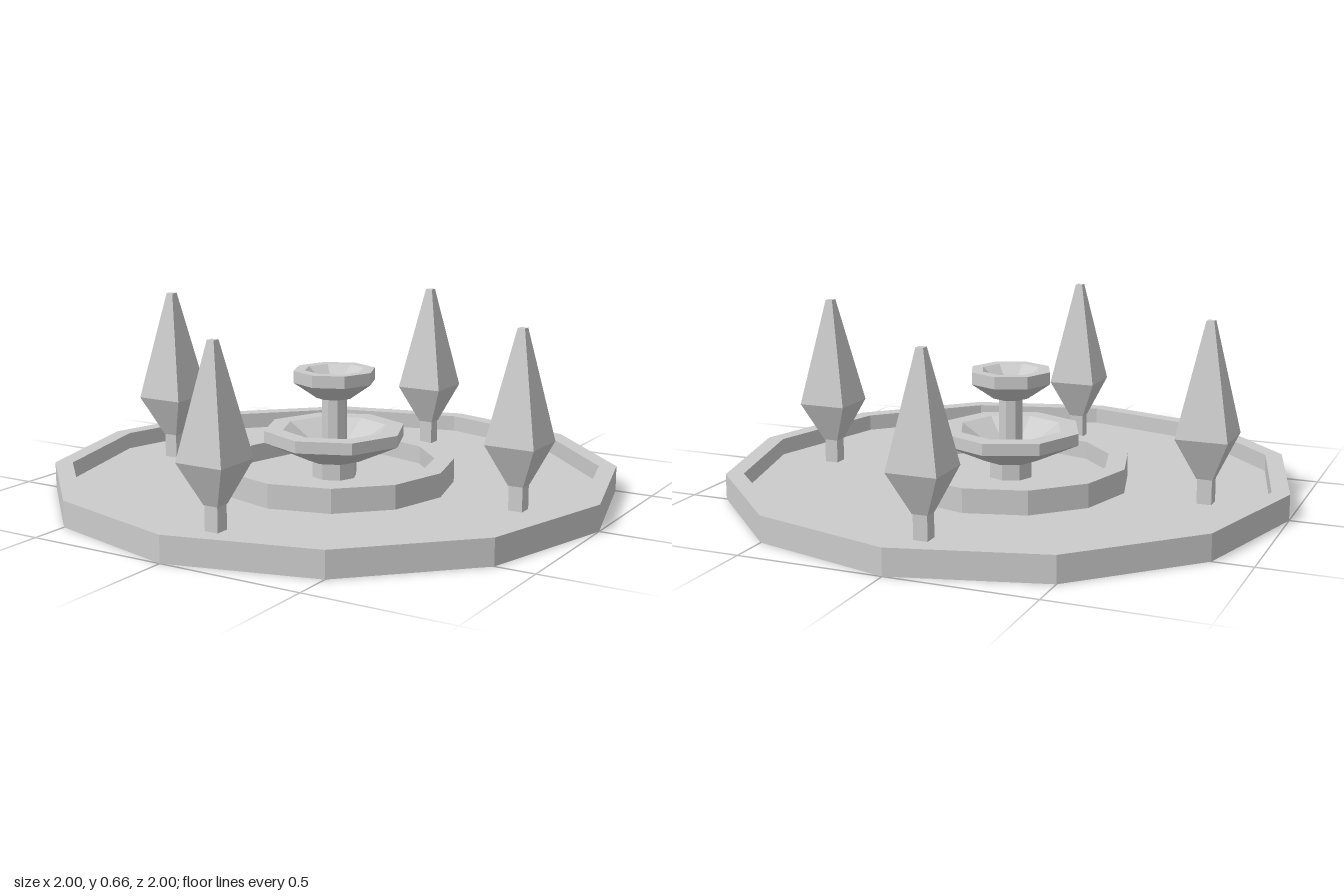
import * as THREE from 'three';

const material = new THREE.MeshStandardMaterial({
  color: 0xcccccc, flatShading: true, side: THREE.DoubleSide,
});

// Faceted solid of revolution from [radius, y] pairs
function turned(name, sides, profile, turn = 0) {
  const points = profile.map(([r, y]) => new THREE.Vector2(r, y));
  const mesh = new THREE.Mesh(new THREE.LatheGeometry(points, sides, turn), material);
  mesh.name = name;
  return mesh;
}

// Square topiary tree; half-widths become corner radii
function createTree() {
  const tree = new THREE.Group();
  tree.name = 'tree';
  const square = (name, profile) =>
    turned(name, 4, profile.map(([h, y]) => [h * Math.SQRT2, y]), Math.PI / 4);
  tree.add(
    square('trunk', [[0.025, 0], [0.025, 0.1]]),
    square('foliage', [[0, 0.085], [0.027, 0.085], [0.088, 0.227], [0.013, 0.61], [0, 0.61]]),
  );
  return tree;
}

export function createModel() {
  const model = new THREE.Group();
  model.name = 'fountainGarden';

  // Twelve-sided base tray, open underneath, and the raised pool
  model.add(
    turned('baseTray', 12, [[1, 0], [1, 0.09], [0.938, 0.09], [0.938, 0.03], [0, 0.03]]),
    turned('pool', 12, [[0.425, 0.03], [0.425, 0.115], [0.355, 0.115], [0.355, 0.05], [0, 0.05]]),
  );

  // Octagonal fountain: two columns carrying two hollow bowls
  model.add(
    turned('lowerColumn', 8, [[0.08, 0.05], [0.08, 0.13]]),
    turned('lowerBowl', 8, [
      [0, 0.112], [0.1, 0.112], [0.255, 0.183], [0.255, 0.225],
      [0.187, 0.225], [0.08, 0.155], [0, 0.155],
    ]),
    turned('upperColumn', 8, [[0.045, 0.15], [0.045, 0.35]]),
    turned('upperBowl', 8, [
      [0, 0.335], [0.065, 0.335], [0.147, 0.392], [0.147, 0.435],
      [0.106, 0.435], [0.05, 0.385], [0, 0.385],
    ]),
  );

  // Four trees on the axes, the one on the right a little larger
  for (let i = 0; i < 4; i++) {
    const angle = (i * Math.PI) / 2;
    const tree = createTree();
    tree.position.set(0.715 * Math.cos(angle), 0.03, 0.715 * Math.sin(angle));
    tree.scale.setScalar(i === 2 ? 1.025 : 1);
    model.add(tree);
  }
  return model;
}
